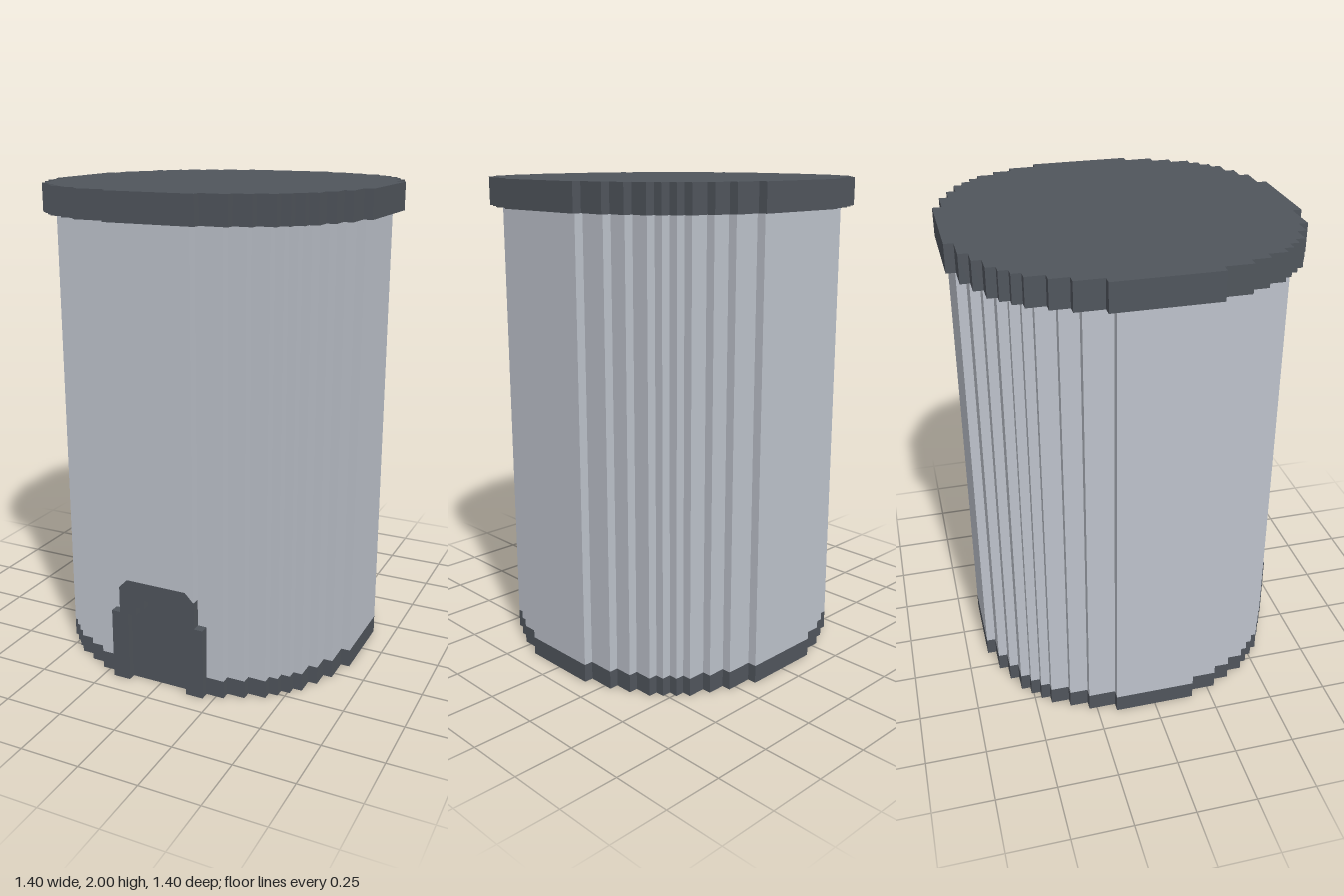
import * as THREE from 'three';

const U = 2 / 53; // one block of the stepped grid

// Half widths of the rows of a stepped disc, from the rim inwards, mirrored to the far rim
const disc = (edge, mid, count) => [...edge, ...Array(count).fill(mid), ...[...edge].reverse()].map(w => [-w, w]);

// Stepped outline from rows of [left, right], running back (-z) to front (+z)
function outline(rows, back) {
  const right = [], left = [];
  rows.forEach(([l, r], i) => {
    const y = back - i;
    right.push([r, y], [r, y - 1]);
    left.push([l, y], [l, y - 1]);
  });
  return [...right, ...left.reverse()];
}

function extrude(points, depth) {
  // drop corners that lie in the middle of a straight run
  const n = points.length;
  const corners = points.filter((p, i) => {
    const a = points[(i + n - 1) % n], b = points[(i + 1) % n];
    return (p[0] - a[0]) * (b[1] - p[1]) !== (p[1] - a[1]) * (b[0] - p[0]);
  });
  const shape = new THREE.Shape(corners.map(([x, y]) => new THREE.Vector2(x * U, y * U)));
  return new THREE.ExtrudeGeometry(shape, { depth, bevelEnabled: false });
}

export function createModel() {
  const group = new THREE.Group();
  const dark = new THREE.MeshStandardMaterial({ color: 0x50555c });
  dark.name = 'dark grey';
  const light = new THREE.MeshStandardMaterial({ color: 0xbdc2cb });
  light.name = 'light grey';

  const add = (name, geometry, material) => {
    const mesh = new THREE.Mesh(geometry, material);
    mesh.name = name;
    group.add(mesh);
    return mesh;
  };
  // Horizontal slab between two heights in blocks
  const slab = (name, rows, back, y0, y1, material) => {
    const g = extrude(outline(rows, back), (y1 - y0) * U);
    g.rotateX(-Math.PI / 2);
    add(name, g, material).position.y = y0 * U;
  };
  // Upright plate facing the front
  const plate = (name, points, z, depth, material) => {
    add(name, extrude(points, depth), material).position.z = z;
  };
  const mirror = pts => [...pts, ...[...pts].reverse().map(([x, y]) => [-x, y])];

  // Drum and base, without the frontmost row, which holds the doorway
  const drum = disc([4.5, 7.5, 9.5, 11.5, 12.5, 13.5, 14.5, 14.5, 15.5, 15.5, 16.5, 16.5, 16.5], 17.5, 9);
  drum.pop();
  slab('base', drum, 17.5, 0, 2, dark);
  slab('drum', drum, 17.5, 2, 50, light);

  // Lid, with one block missing at the front rim
  const lid = disc([5.5, 8.5, 10.5, 12.5, 13.5, 14.5, 15.5, 15.5, 16.5, 16.5, 17.5, 17.5, 17.5], 18.5, 11);
  lid[lid.length - 1] = [-4.5, 5.5];
  slab('lid', lid, 18.5, 50, 53, dark);

  // Doorway: stepped arch, frame around it and the wall above
  const arch = [[-3.5, 0], [-3.5, 8], [-2.5, 8], [-2.5, 9], [-1.5, 9], [-1.5, 10]];
  const frame = [[-5.5, 0], [-5.5, 8], [-4.5, 8], [-4.5, 11], [-3.5, 12]];
  plate('doorFrame', [...mirror(frame), ...mirror(arch).reverse()], 16.5 * U, U, dark);
  plate('door', mirror(arch), 16.5 * U, 0.004, dark);
  plate('frontWall', mirror([[-3.5, 12], [-4.5, 11], [-4.5, 50]]), 16.5 * U, U, light);

  return group;
}
